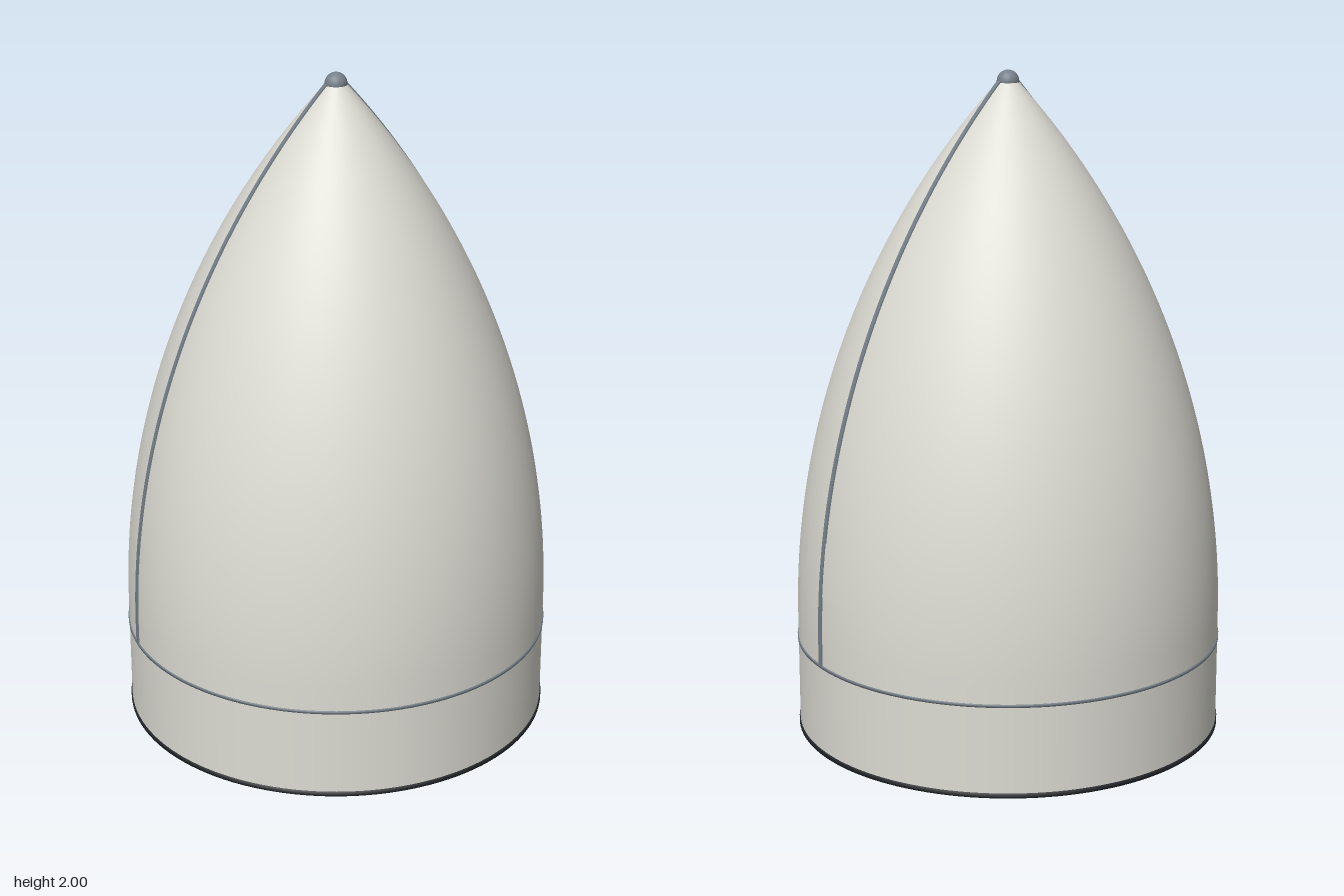
import * as THREE from 'three';

const R = 0.645, SHOULDER = 0.35, TIP = 2, JOINT = 0.28, SEGMENTS = 128;
const SEAM_ANGLE = THREE.MathUtils.degToRad(21);

// Radius of the tangent ogive at height y
function radiusAt(y) {
  if (y <= SHOULDER) return R;
  const length = TIP - SHOULDER;
  const rho = (R * R + length * length) / (2 * R);
  return Math.max(0, Math.sqrt(rho * rho - (y - SHOULDER) ** 2) - (rho - R));
}

// Profile of the shell between two heights, pushed out by an offset
function profile(y0, y1, steps, offset = 0) {
  return Array.from({ length: steps + 1 }, (_, i) => {
    const y = y0 + (y1 - y0) * i / steps;
    return new THREE.Vector2(radiusAt(y) + offset, y);
  });
}

// Raised strip following the shell from the joint to the tip
function seamGeometry(halfWidth, lift) {
  const positions = [], index = [], steps = 64;
  for (let i = 0; i <= steps; i++) {
    const y = JOINT + (1.975 - JOINT) * i / steps;
    const r = radiusAt(y);
    const inner = Math.max(0, r - 0.006), outer = r + lift;
    positions.push(inner, y, halfWidth, outer, y, halfWidth, outer, y, -halfWidth, inner, y, -halfWidth);
    if (i === steps) continue;
    for (let k = 0; k < 3; k++) {
      const a = i * 4 + k, b = a + 1, c = a + 4, d = a + 5;
      index.push(a, b, c, b, d, c);
    }
  }
  const geometry = new THREE.BufferGeometry();
  geometry.setAttribute('position', new THREE.Float32BufferAttribute(positions, 3));
  geometry.setIndex(index);
  const flat = geometry.toNonIndexed();
  flat.computeVertexNormals();
  return flat;
}

export function createModel() {
  const group = new THREE.Group();
  const material = (name, color) =>
    new THREE.MeshStandardMaterial({ name, color, side: THREE.DoubleSide });
  const shellPaint = material('warm white', 0xdcdbd3);
  const seamPaint = material('slate grey', 0x77818a);
  const rimPaint = material('dark charcoal', 0x24282c);

  const add = (name, geometry, mat) => {
    const mesh = new THREE.Mesh(geometry, mat);
    mesh.name = name;
    group.add(mesh);
    return mesh;
  };
  const ring = (name, inner, outer, y0, y1, mat) => add(name, new THREE.LatheGeometry(
    [[inner, y0], [outer, y0], [outer, y1], [inner, y1], [inner, y0]]
      .map(([x, y]) => new THREE.Vector2(x, y)), SEGMENTS), mat);

  // Outer skin: pointed nose above a straight base collar
  add('noseShell', new THREE.LatheGeometry(profile(JOINT, 1.985, 64), SEGMENTS), shellPaint);
  add('baseCollar', new THREE.LatheGeometry(profile(0.012, JOINT, 1), SEGMENTS), shellPaint);

  // Inner face of the collar
  add('collarLining', new THREE.CylinderGeometry(R - 0.01, R - 0.01, JOINT - 0.012, SEGMENTS, 1, true)
    .translate(0, (JOINT + 0.012) / 2, 0), shellPaint);

  // Funnel-shaped bulkhead with an open centre
  add('bulkhead', new THREE.LatheGeometry(
    [new THREE.Vector2(0.17, 0.004), new THREE.Vector2(R - 0.01, 0.272)], SEGMENTS), shellPaint);

  // Bottom rim and joint ring
  ring('bottomRim', R - 0.013, R + 0.003, 0, 0.014, rimPaint);
  ring('jointRing', R - 0.006, R + 0.003, JOINT - 0.004, JOINT + 0.005, seamPaint);

  // Two opposite split lines
  for (const turn of [0, Math.PI]) {
    add('splitLine', seamGeometry(0.009, 0.004), seamPaint).rotation.y = -SEAM_ANGLE + turn;
  }

  // Rounded nose tip
  add('noseTip', new THREE.SphereGeometry(0.033, 32, 20).translate(0, 1.967, 0), seamPaint);

  // Access door, a thin curved panel lying on the skin
  const doorStart = THREE.MathUtils.degToRad(90 - 24), doorSweep = THREE.MathUtils.degToRad(17);
  add('accessDoor', new THREE.LatheGeometry(profile(0.5, 0.66, 6, 0.0015), 12, doorStart, doorSweep), shellPaint);

  return group;
}
